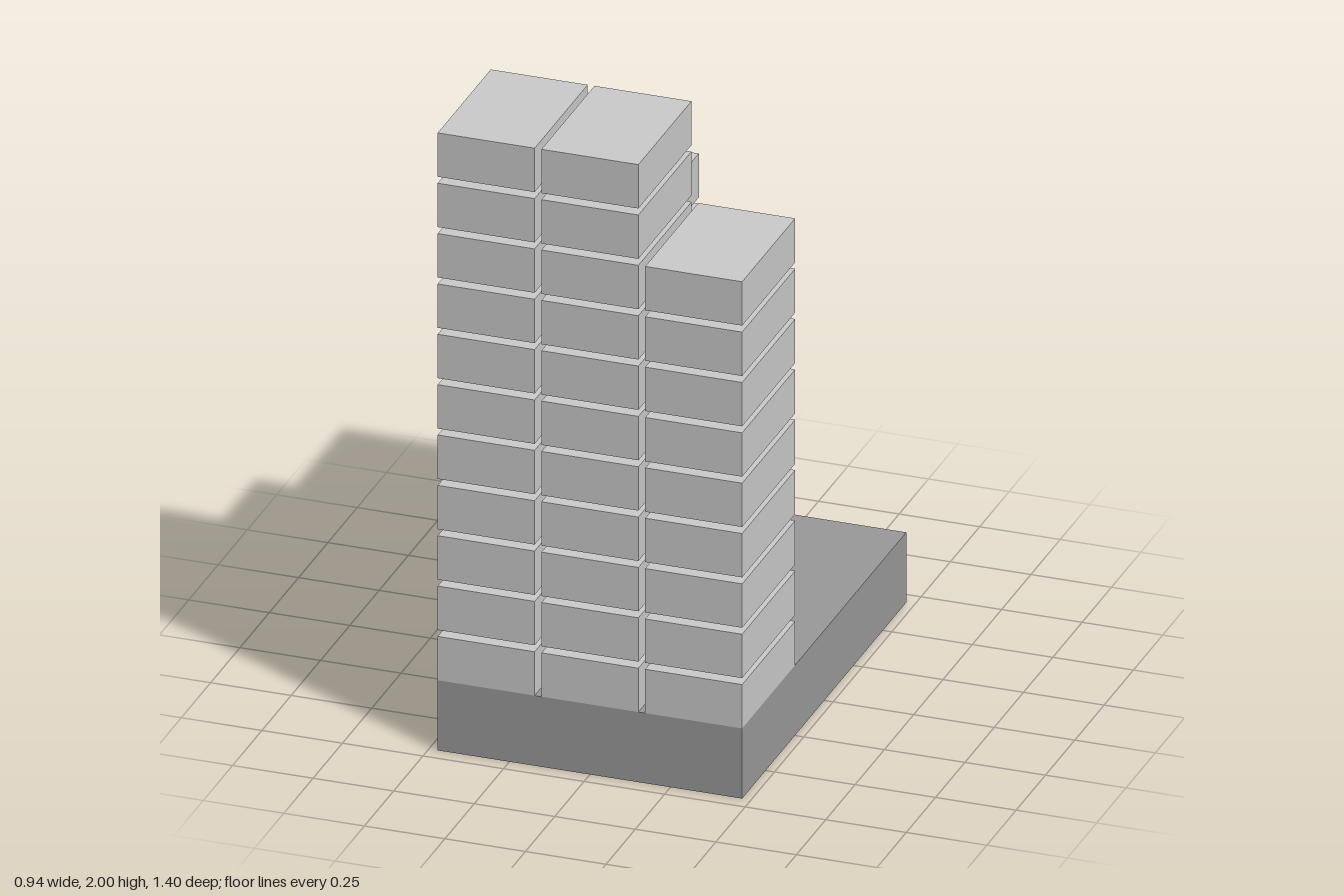
import * as THREE from 'three';

export function createModel() {
  const model = new THREE.Group();
  model.name = 'steppedTower';

  const blockMat = new THREE.MeshStandardMaterial({ color: 0xcccccc });
  const baseMat = new THREE.MeshStandardMaterial({ color: 0x9a9a9a });

  const W = 0.945, D = 1.4, baseH = 0.227;
  const gap = 0.021;
  const floors = 11;
  const bw = (W - 2 * gap) / 3;
  const bd = (D - 2 * gap) / 3;
  const bh = (2 - baseH - (floors - 1) * gap) / floors;

  // Podium
  const podium = new THREE.Mesh(new THREE.BoxGeometry(W, baseH, D), baseMat);
  podium.name = 'podium';
  podium.position.y = baseH / 2;
  model.add(podium);

  // Stacks of floor blocks on a 3 x 3 grid: [name, column, row, floors]
  const stacks = [
    ['frontRightStack', -1, 1, 11],
    ['frontMiddleStack', 0, 1, 11],
    ['frontLeftStack', 1, 1, 9],
    ['middleRightStack', -1, 0, 8],
    ['backRightStack', -1, -1, 7],
  ];
  const blockGeo = new THREE.BoxGeometry(bw, bh, bd);
  for (const [name, col, row, count] of stacks) {
    const stack = new THREE.Group();
    stack.name = name;
    stack.position.set(col * (bw + gap), baseH, row * (bd + gap));
    for (let i = 0; i < count; i++) {
      const block = new THREE.Mesh(blockGeo, blockMat);
      block.name = `floor${i + 1}`;
      block.position.y = bh / 2 + i * (bh + gap);
      stack.add(block);
    }
    model.add(stack);
  }
  return model;
}
